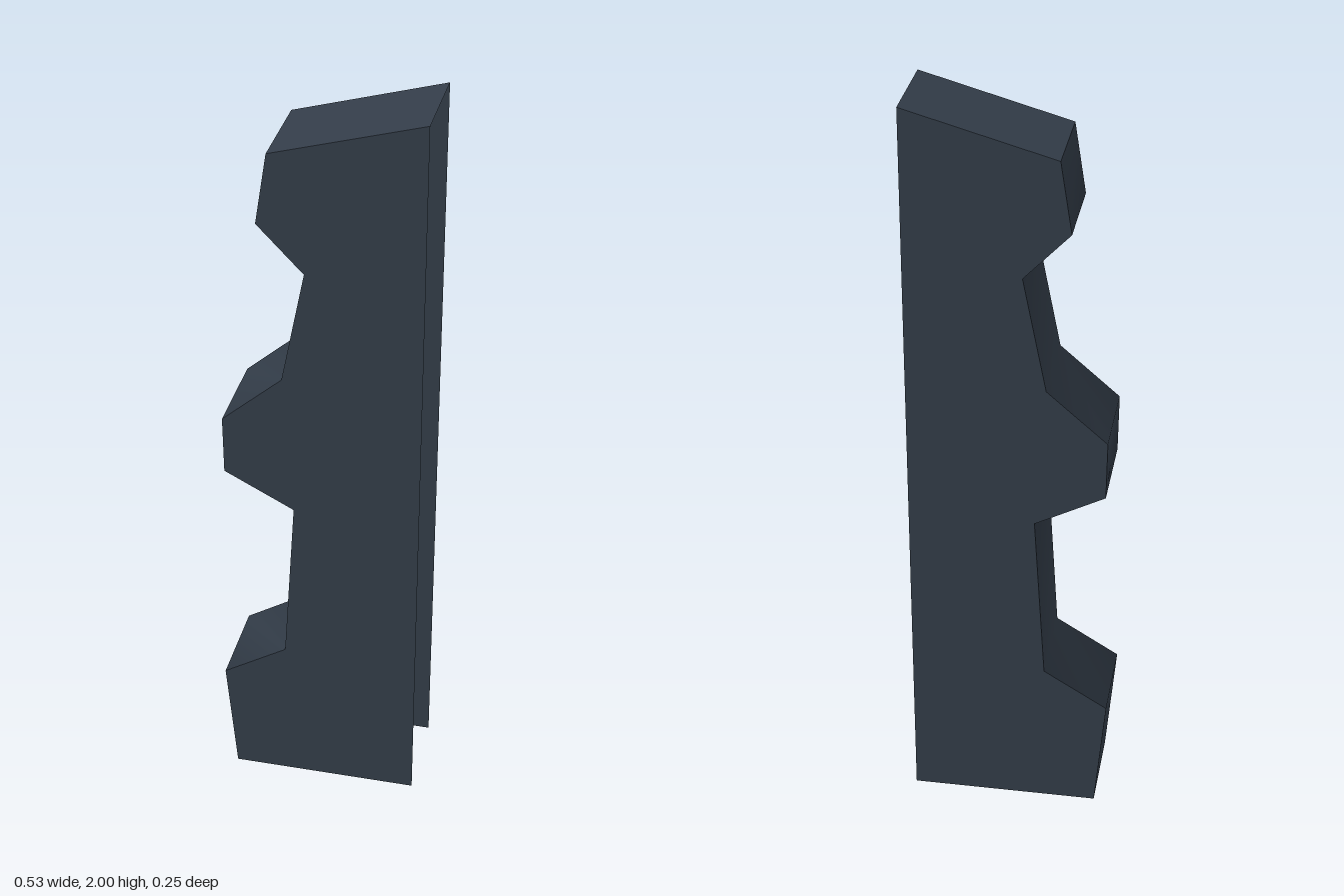
import * as THREE from 'three';

const HALF_DEPTH = 0.126;

// Outline from the top of the open side, down the notched side, to the foot
const PROFILE = [
  [0.263, 2], [-0.125, 1.89], [-0.154, 1.704], [-0.035, 1.58],
  [-0.095, 1.275], [-0.252, 1.138], [-0.25, 0.98], [-0.067, 0.885],
  [-0.095, 0.42], [-0.265, 0.315], [-0.237, 0],
];

// Strip following a run of profile points across the full depth
function strip(points) {
  const positions = points.flatMap(([x, y]) => [x, y, HALF_DEPTH, x, y, -HALF_DEPTH]);
  const index = [];
  for (let i = 0; i < points.length - 1; i++) {
    const a = 2 * i;
    index.push(a, a + 3, a + 2, a, a + 1, a + 3);
  }
  const geometry = new THREE.BufferGeometry();
  geometry.setAttribute('position', new THREE.Float32BufferAttribute(positions, 3));
  geometry.setIndex(index);
  geometry.computeVertexNormals();
  return geometry;
}

// Flat plate filling the outline, facing +z (side 1) or -z (side -1)
function plate(side) {
  const outline = [...PROFILE, [0.263, 0]].map(([x, y]) => new THREE.Vector2(x * side, y));
  const geometry = new THREE.ShapeGeometry(new THREE.Shape(outline));
  geometry.translate(0, 0, HALF_DEPTH);
  if (side < 0) geometry.rotateY(Math.PI);
  return geometry;
}

export function createModel() {
  const slate = new THREE.MeshStandardMaterial({ color: 0x333d49, side: THREE.DoubleSide });
  slate.name = 'darkSlate';
  const model = new THREE.Group();
  model.name = 'notchedCover';

  const add = (name, geometry) => {
    const mesh = new THREE.Mesh(geometry, slate);
    mesh.name = name;
    model.add(mesh);
  };

  // Shell left open at the bottom and along the straight side
  add('frontPlate', plate(1));
  add('backPlate', plate(-1));
  add('slopedTop', strip(PROFILE.slice(0, 2)));
  add('notchedWall', strip(PROFILE.slice(1)));
  return model;
}
